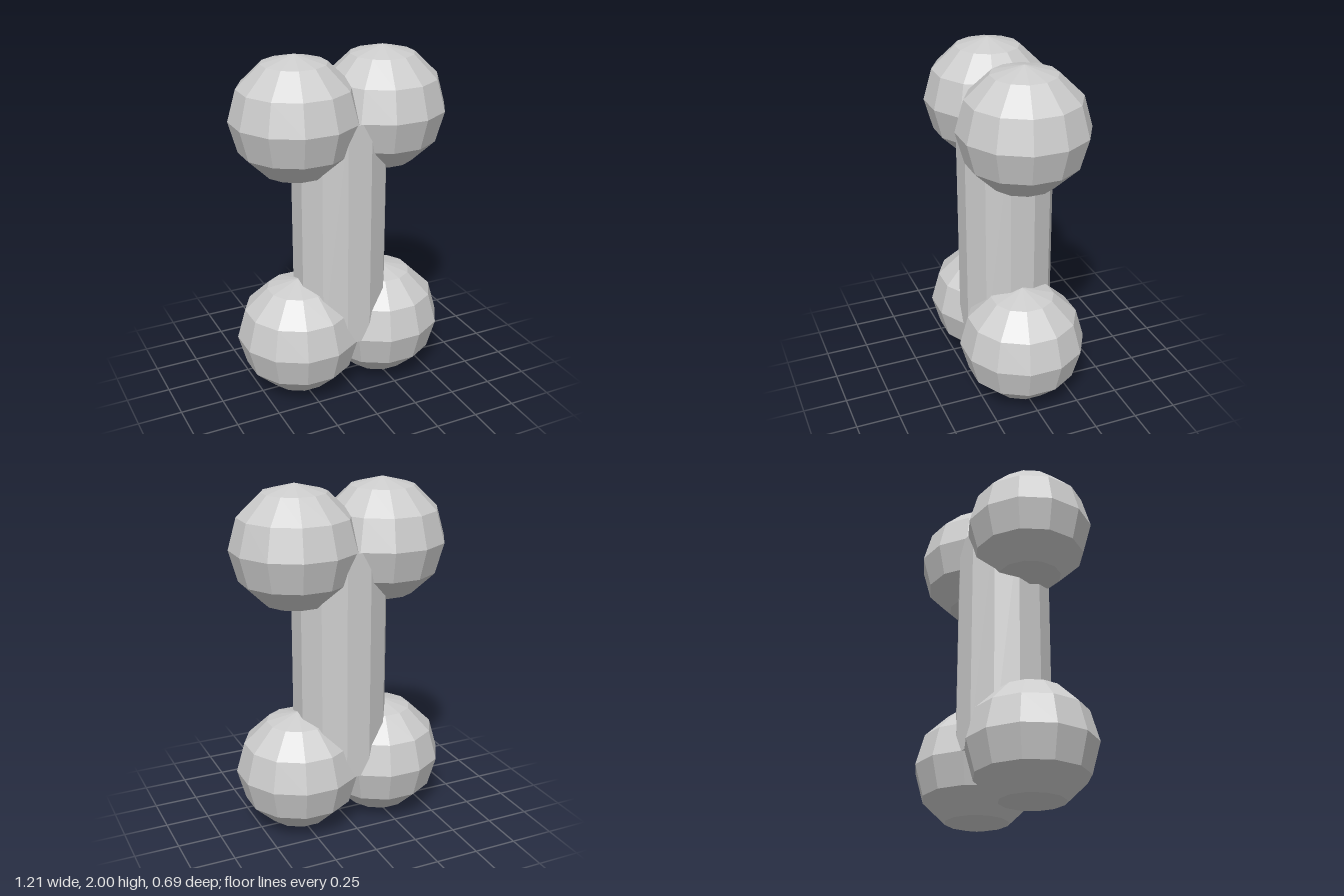
import * as THREE from 'three';

export function createModel() {
  const group = new THREE.Group();
  const bone = new THREE.MeshStandardMaterial({ color: 0xcccccc, flatShading: true });
  bone.name = 'boneGrey';

  const turn = Math.PI / 12; // half a facet, so flat sides face the axes
  const knobY = 0.347, knobX = 0.26;

  // Twelve-sided shaft running between the knob centres
  const shaft = new THREE.Mesh(
    new THREE.CylinderGeometry(0.269, 0.269, 2 - 2 * knobY, 12).rotateY(turn), bone);
  shaft.name = 'shaft';
  shaft.position.y = 1;
  group.add(shaft);

  // Faceted knobs, a pair at each end
  const knobGeometry = new THREE.SphereGeometry(1, 12, 6).rotateY(turn).scale(0.359, knobY, 0.359);
  for (const [end, y] of [['lower', knobY], ['upper', 2 - knobY]]) {
    for (const [side, x] of [['Left', knobX], ['Right', -knobX]]) {
      const knob = new THREE.Mesh(knobGeometry, bone);
      knob.name = end + side + 'Knob';
      knob.position.set(x, y, 0);
      group.add(knob);
    }
  }
  return group;
}
